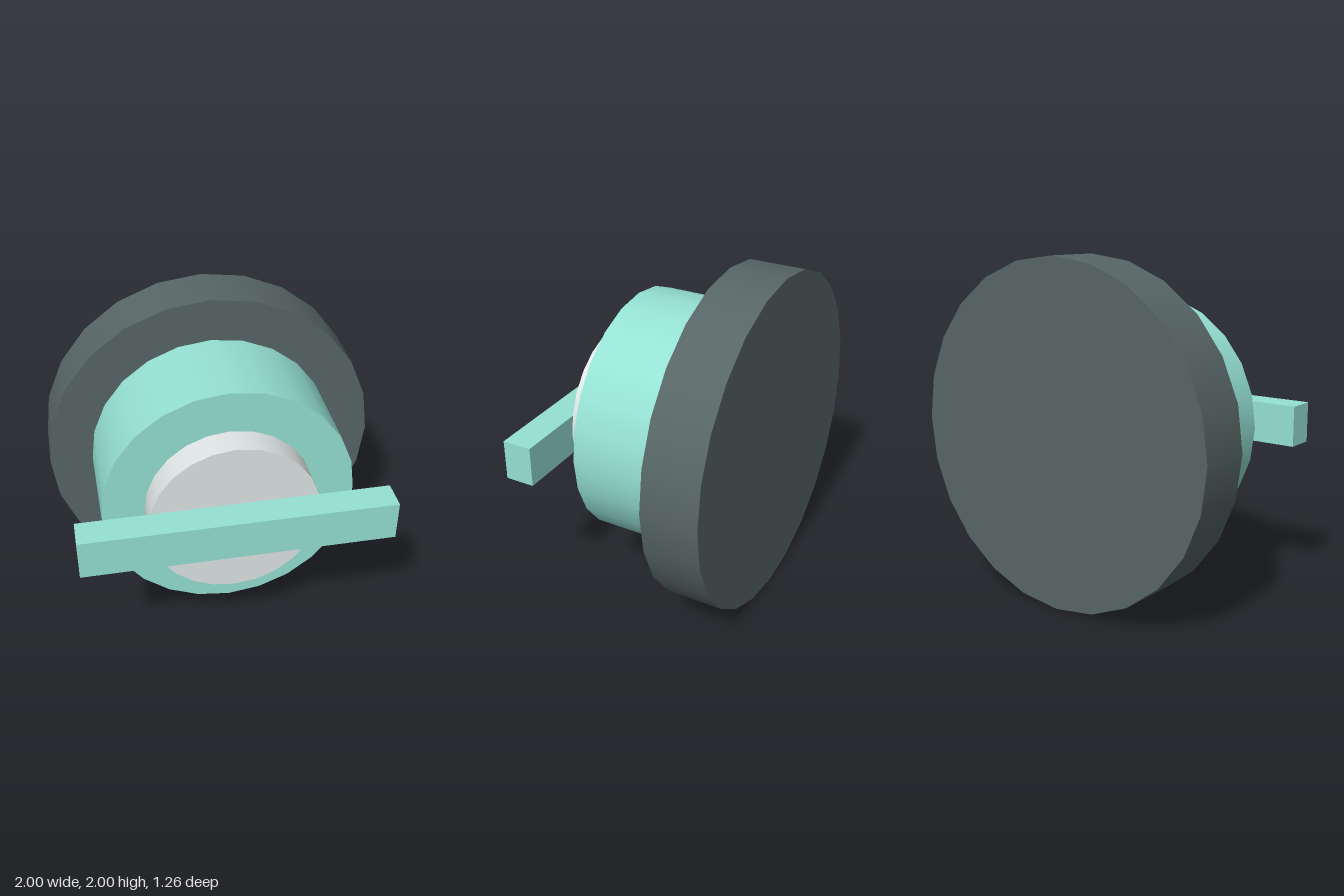
import * as THREE from 'three';

const paint = (color) => new THREE.MeshStandardMaterial({ color });

export function createModel() {
  const model = new THREE.Group();
  model.name = 'knob';

  const teal = paint(0x95e1d3);
  const dark = paint(0x576665);
  const silver = paint(0xdfe6e5);

  // Round slab lying along z, between two depths
  function disc(name, radius, back, front, material) {
    const geometry = new THREE.CylinderGeometry(radius, radius, front - back, 24);
    geometry.rotateX(Math.PI / 2);
    const mesh = new THREE.Mesh(geometry, material);
    mesh.name = name;
    mesh.position.set(0, 1, (back + front) / 2);
    model.add(mesh);
  }

  disc('basePlate', 1, -0.63, -0.295, dark);
  disc('drum', 0.743, -0.295, 0.28, teal);
  disc('frontCap', 0.495, 0.28, 0.455, silver);

  // Crossbar handle on the front cap
  const bar = new THREE.Mesh(new THREE.BoxGeometry(1.8, 0.24, 0.175), teal);
  bar.name = 'handleBar';
  bar.position.set(0, 1, 0.5425);
  model.add(bar);

  return model;
}
